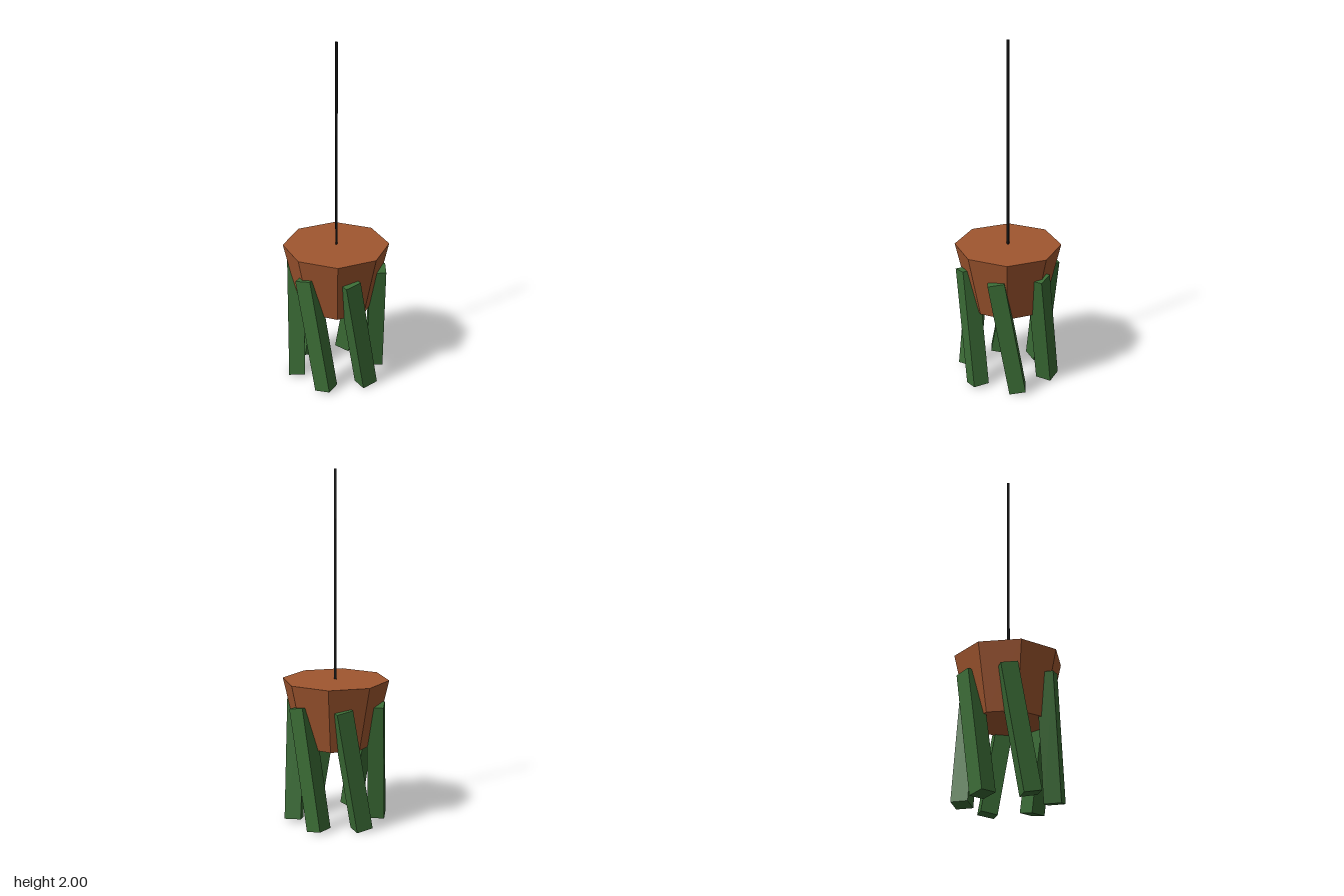
import * as THREE from 'three';

export function createModel() {
  const model = new THREE.Group();
  model.name = 'hangingPot';

  const mat = (name, color) => {
    const m = new THREE.MeshStandardMaterial({ color });
    m.name = name;
    m.flatShading = true;
    return m;
  };
  const terracotta = mat('terracotta', 0xa0562f);
  const leafGreen = mat('leafGreen', 0x3a6b35);
  const ropeBlack = mat('ropeBlack', 0x1a1a1a);

  const add = (name, geometry, material, parent = model) => {
    const mesh = new THREE.Mesh(geometry, material);
    mesh.name = name;
    parent.add(mesh);
    return mesh;
  };

  // Eight-sided tapered pot
  const potBottom = 0.453, potTop = 0.825;
  add('pot', new THREE.CylinderGeometry(0.305, 0.218, potTop - potBottom, 8), terracotta)
    .position.y = (potTop + potBottom) / 2;

  // Three-sided rope rising from the pot, one corner towards +x
  const ropeBottom = 0.8, ropeTop = 2;
  add('rope', new THREE.CylinderGeometry(0.009, 0.009, ropeTop - ropeBottom, 3, 1, false, Math.PI / 2), ropeBlack)
    .position.y = (ropeTop + ropeBottom) / 2;

  // Six hanging strands around the pot, each leaning sideways
  const strandGeometry = new THREE.BoxGeometry(0.095, 0.7, 0.095);
  for (let i = 0; i < 6; i++) {
    const pivot = new THREE.Group();
    pivot.name = `strandPivot${i + 1}`;
    pivot.rotation.y = (i * Math.PI) / 3;
    const strand = add(`strand${i + 1}`, strandGeometry, leafGreen, pivot);
    strand.position.set(0.235, 0.353, 0);
    strand.rotation.x = THREE.MathUtils.degToRad(10);
    model.add(pivot);
  }

  return model;
}
